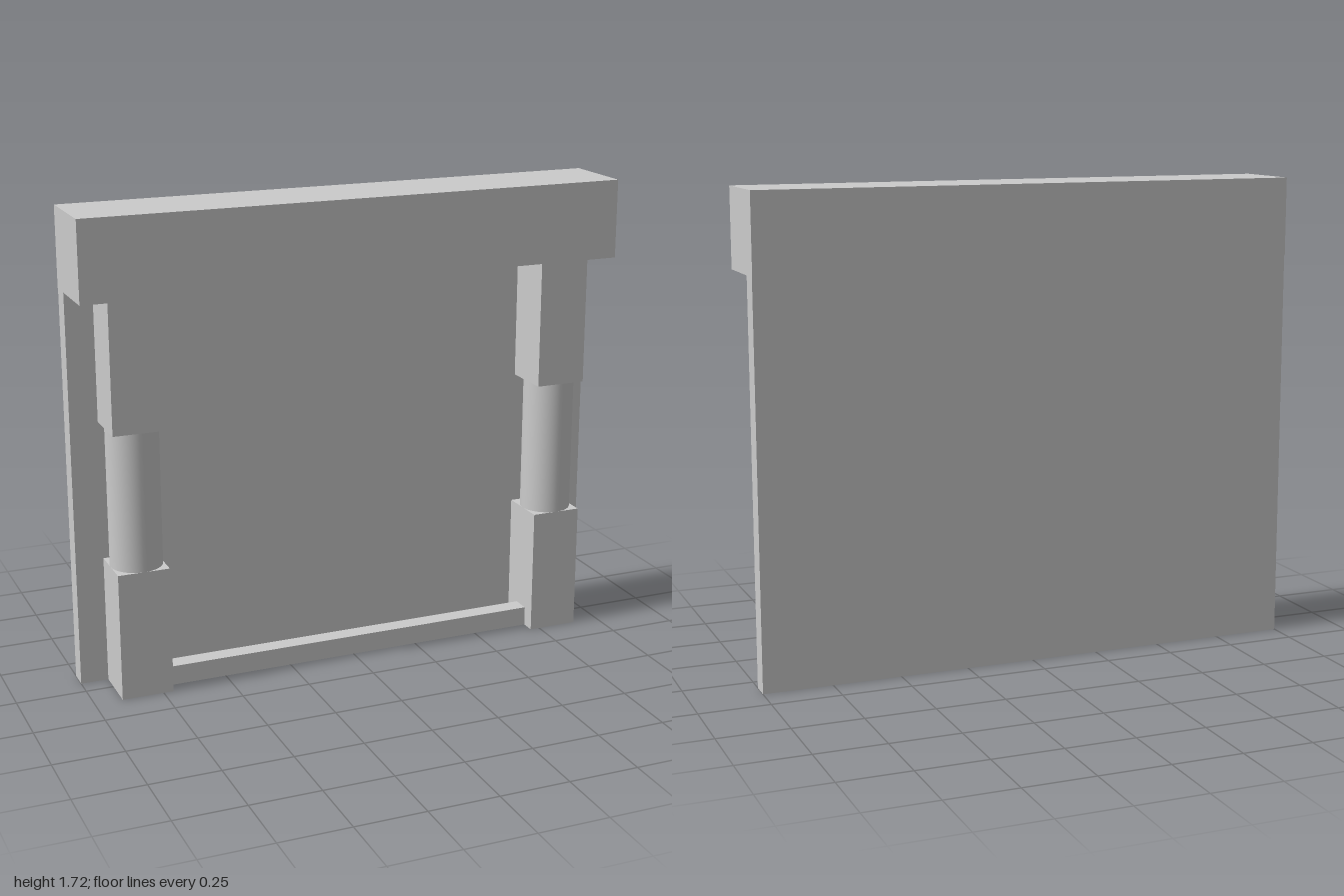
import * as THREE from 'three';

const material = new THREE.MeshStandardMaterial({ color: 0xcccccc });

// Box given by its limits on each axis
function box(name, [x0, x1], [y0, y1], [z0, z1]) {
  const mesh = new THREE.Mesh(new THREE.BoxGeometry(x1 - x0, y1 - y0, z1 - z0), material);
  mesh.position.set((x0 + x1) / 2, (y0 + y1) / 2, (z0 + z1) / 2);
  mesh.name = name;
  return mesh;
}

// Square post with a round middle section
function createPost(name, x) {
  const post = new THREE.Group();
  post.name = name;
  const half = 0.093, z = 0.025;
  const spanX = [-half, half], spanZ = [-half, half];
  const shaft = new THREE.Mesh(new THREE.CylinderGeometry(half, half, 0.5, 48, 1, true), material);
  shaft.name = 'roundShaft';
  shaft.position.y = 0.715;
  post.add(
    box('lowerBlock', spanX, [0, 0.465], spanZ),
    shaft,
    box('upperBlock', spanX, [0.965, 1.43], spanZ),
  );
  post.position.set(x, 0, z);
  return post;
}

export function createModel() {
  const model = new THREE.Group();
  model.name = 'panelledFrame';
  model.add(
    box('topBeam', [-1, 1], [1.43, 1.715], [-0.143, 0.143]),
    box('backPanel', [-1, 1], [0, 1.43], [-0.139, -0.068]),
    // Low rail between the posts, standing clear of the panel
    box('bottomRail', [-0.715, 0.715], [0, 0.071], [0, 0.066]),
    createPost('leftPost', 0.807),
    createPost('rightPost', -0.807),
  );
  return model;
}
